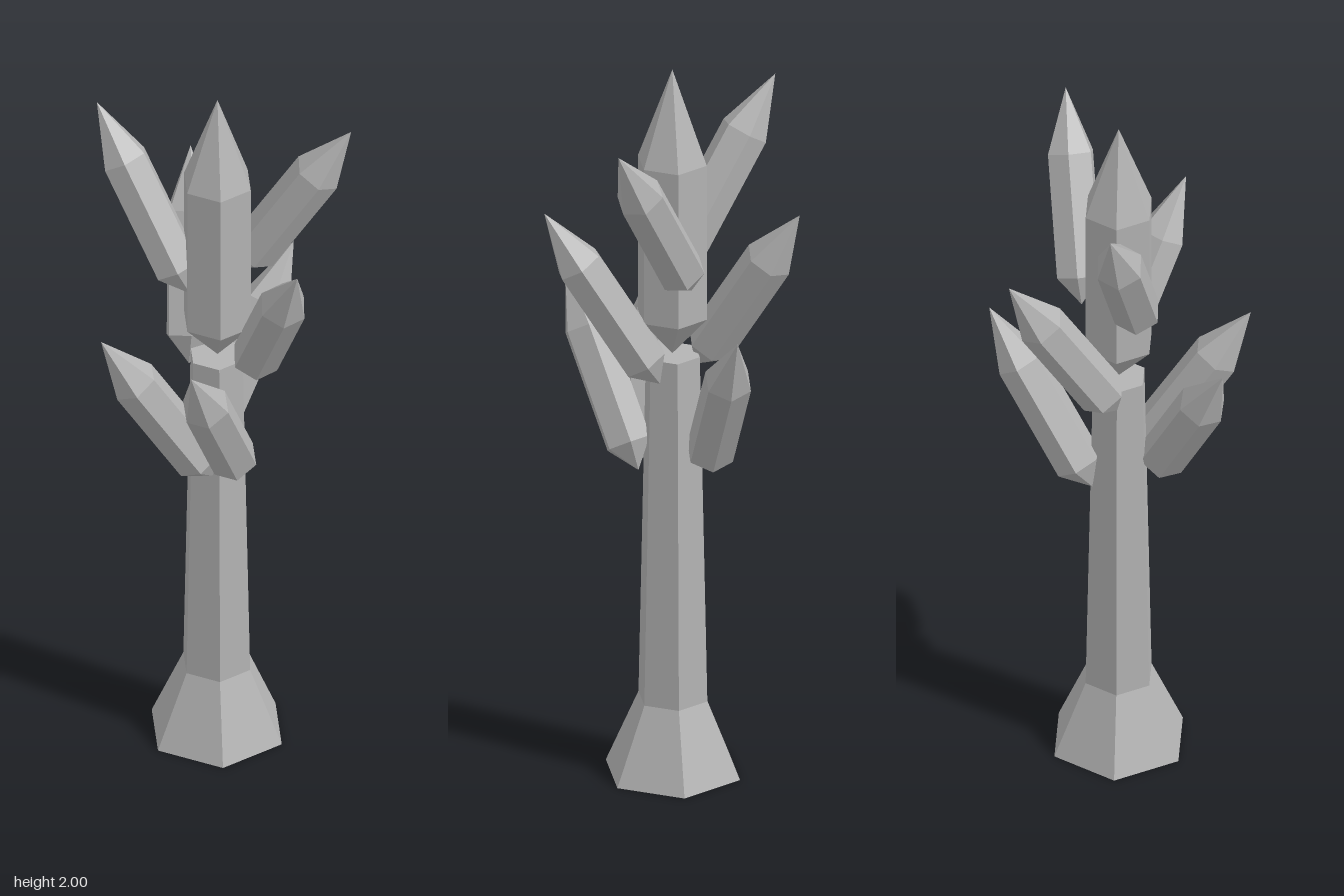
import * as THREE from 'three';

// Faceted six-sided solid of revolution with corners on the x axis
function hexSolid(profile) {
  const points = profile.map(([r, y]) => new THREE.Vector2(r, y));
  const geometry = new THREE.LatheGeometry(points, 6, Math.PI / 2).toNonIndexed();
  geometry.computeVertexNormals();
  return geometry;
}

export function createModel() {
  const group = new THREE.Group();
  const grey = new THREE.MeshStandardMaterial({ color: 0xb4b4b4 });
  grey.name = 'stone grey';

  const add = (name, geometry) => {
    const mesh = new THREE.Mesh(geometry, grey);
    mesh.name = name;
    group.add(mesh);
    return mesh;
  };

  // Trunk with flared foot
  const trunk = add('trunk', hexSolid([[0, 0], [0.187, 0], [0.096, 0.21], [0.075, 1.19], [0, 1.19]]));
  trunk.position.x = 0.015;

  // Upright crown leaf
  const crown = add('crownLeaf', hexSolid([[0, 1.19], [0.096, 1.3], [0.096, 1.74], [0, 2]]));
  crown.position.x = 0.017;

  // Side leaves: tip x, y, z and horizontal heading x, z
  const length = 0.57;
  const tilt = THREE.MathUtils.degToRad(32);
  const leafGeometry = hexSolid([[0, -length], [0.065, -length + 0.075], [0.065, -0.17], [0, 0]]);
  const up = new THREE.Vector3(0, 1, 0);
  const leaves = [
    ['lowerLeaf', 0.1, 1.35, 0.34, 0, 1],
    ['lowerLeaf', -0.185, 1.35, 0.285, -0.76, 0.65],
    ['lowerLeaf', 0.077, 1.35, -0.342, 0.4, -0.92],
    ['middleLeaf', -0.188, 1.62, -0.274, -0.41, -0.91],
    ['middleLeaf', 0.32, 1.62, 0.157, 0.76, 0.65],
    ['upperLeaf', 0.328, 1.89, -0.158, 0.98, -0.2],
    ['upperLeaf', -0.33, 1.89, 0, -0.98, -0.2],
  ];
  for (const [name, x, y, z, dx, dz] of leaves) {
    const direction = new THREE.Vector3(dx, 0, dz).normalize().multiplyScalar(Math.sin(tilt));
    direction.y = Math.cos(tilt);
    const leaf = add(name, leafGeometry);
    leaf.position.set(x, y, z);
    leaf.quaternion.setFromUnitVectors(up, direction);
  }
  return group;
}
